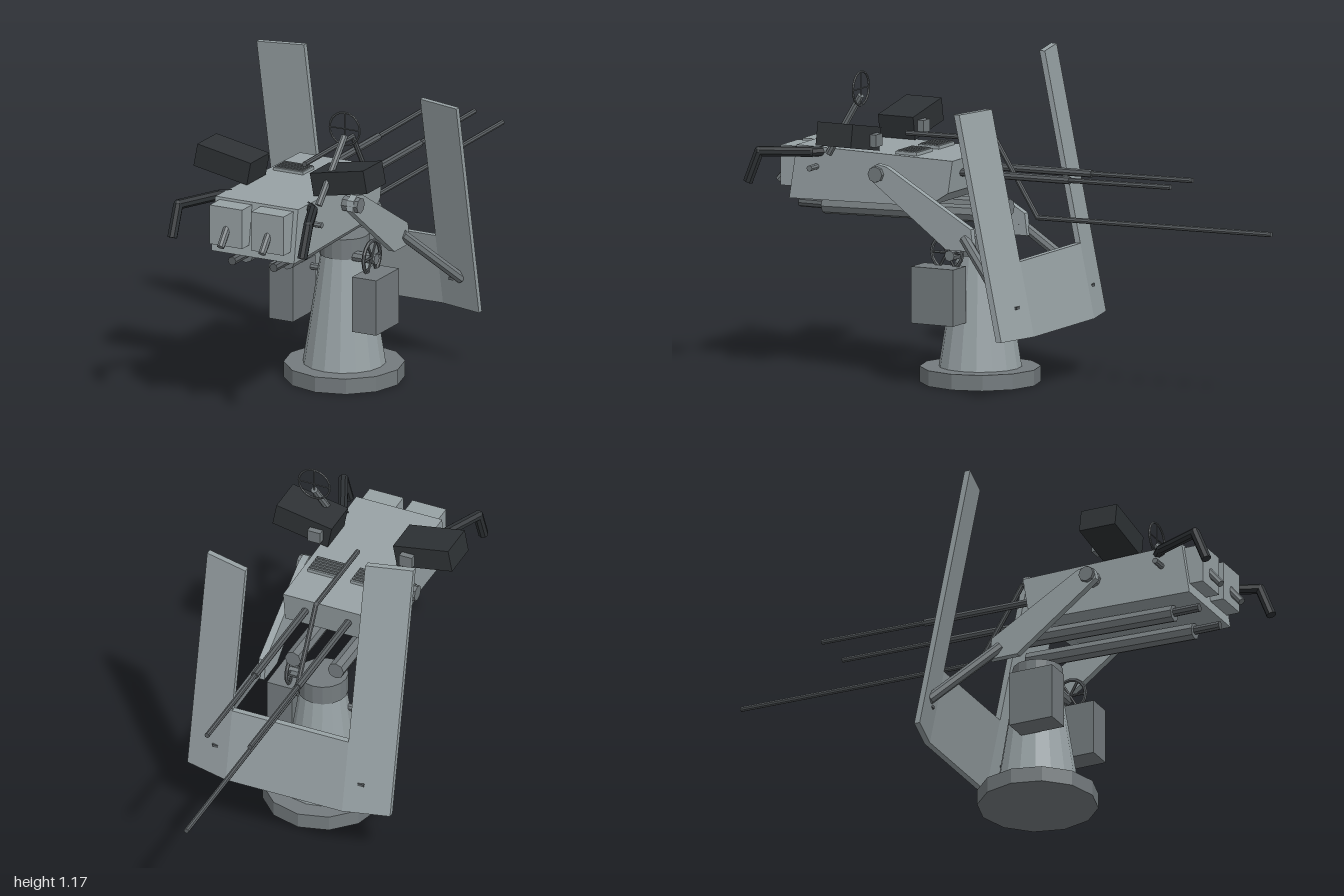
import * as THREE from 'three';

const paint = (color) => new THREE.MeshStandardMaterial({ color, flatShading: true });
const V = (x, y, z) => new THREE.Vector3(x, y, z);

export function createModel() {
  const root = new THREE.Group();
  const grey = paint(0x98a2a5), mid = paint(0x747b7e), steel = paint(0x5a5f62), black = paint(0x2e3235);

  const add = (name, geo, mat, parent = root) => {
    const m = new THREE.Mesh(geo, mat);
    m.name = name;
    parent.add(m);
    return m;
  };
  const box = (name, w, h, d, x, y, z, mat, parent) => {
    const m = add(name, new THREE.BoxGeometry(w, h, d), mat, parent);
    m.position.set(x, y, z);
    return m;
  };
  // Straight round bar between two points
  const rod = (name, a, b, r, mat, sides = 8, parent = root) => {
    const m = add(name, new THREE.CylinderGeometry(r, r, a.distanceTo(b), sides), mat, parent);
    m.position.copy(a).lerp(b, 0.5);
    m.quaternion.setFromUnitVectors(V(0, 1, 0), b.clone().sub(a).normalize());
    return m;
  };
  // Bar bent through several points, with rounded elbows
  const bentRod = (name, pts, r, mat) => {
    const g = new THREE.Group();
    g.name = name;
    root.add(g);
    pts.forEach((p, i) => {
      if (i === 0) return;
      rod(name + 'Segment', pts[i - 1], p, r, mat, 8, g);
      if (i < pts.length - 1) add(name + 'Elbow', new THREE.SphereGeometry(r, 8, 6), mat, g).position.copy(p);
    });
  };
  // Side outline given as [z, y], spanning x0 to x1
  const sidePlate = (name, pts, x0, x1, mat) => {
    const shape = new THREE.Shape(pts.map(([z, y]) => new THREE.Vector2(z, y)));
    const geo = new THREE.ExtrudeGeometry(shape, { depth: x1 - x0, bevelEnabled: false });
    geo.rotateY(-Math.PI / 2).translate(x1, 0, 0);
    return add(name, geo, mat);
  };

  // Pedestal
  const Z = 0.177;
  const turned = (name, r0, r1, y0, y1, sides, mat) => {
    add(name, new THREE.CylinderGeometry(r1, r0, y1 - y0, sides), mat).position.set(0, (y0 + y1) / 2, Z);
  };
  turned('baseDisc', 0.217, 0.217, 0, 0.057, 12, mid);
  turned('pedestalCone', 0.149, 0.085, 0.057, 0.465, 16, grey);
  turned('pedestalCollar', 0.09, 0.09, 0.463, 0.538, 16, mid);

  // Traversing handwheel on the left of the collar
  rod('wheelAxle', V(0.06, 0.472, 0.22), V(0.155, 0.472, 0.22), 0.02, mid);
  const wheel = new THREE.Group();
  wheel.name = 'handwheel';
  wheel.position.set(0.143, 0.482, 0.235);
  wheel.rotation.y = Math.PI / 2;
  root.add(wheel);
  add('wheelRim', new THREE.TorusGeometry(0.062, 0.007, 6, 16), steel, wheel);
  for (let i = 0; i < 3; i++) {
    const a = (i * Math.PI) / 3, c = 0.062 * Math.cos(a), s = 0.062 * Math.sin(a);
    rod('wheelSpoke', V(-c, -s, 0), V(c, s, 0), 0.005, steel, 6, wheel);
  }

  // Receiver body
  sidePlate('receiver', [[0.86, 0.635], [0.83, 0.83], [0.2, 0.818], [0.218, 0.7], [0.3, 0.647]], -0.168, 0.168, grey);
  rod('rearCrossPin', V(-0.222, 0.757, 0.75), V(0.222, 0.757, 0.75), 0.011, mid);
  rod('trunnion', V(-0.232, 0.757, 0.48), V(0.232, 0.757, 0.48), 0.029, mid);

  // Shield panels: sloped back with height, wings swept back past the crossbar
  const panel = (name, x0, x1, y0, y1) => {
    const geo = new THREE.BoxGeometry(x1 - x0, y1 - y0, 0.022).translate((x0 + x1) / 2, (y0 + y1) / 2, 0);
    const p = geo.attributes.position;
    for (let i = 0; i < p.count; i++) {
      const sweep = 0.25 * Math.max(0, Math.abs(p.getX(i)) - 0.228);
      p.setZ(i, p.getZ(i) - 0.151 + 0.21 * (p.getY(i) - 0.22) + sweep);
    }
    geo.computeVertexNormals();
    add(name, geo, grey);
  };
  panel('shieldCrossPanel', -0.228, 0.228, 0.22, 0.488);
  panel('shieldRightWing', -0.397, -0.228, 0.22, 1.172);
  panel('shieldLeftWing', 0.228, 0.397, 0.22, 1.03);

  for (const s of [-1, 1]) {
    // Cradle arms and shield struts
    sidePlate('cradleArm',
      [[0.512, 0.74], [0.505, 0.777], [0.48, 0.793], [0.44, 0.785], [0.1, 0.585], [0.09, 0.505], [0.2, 0.505], [0.49, 0.722]],
      s * 0.204 - 0.013, s * 0.204 + 0.013, grey);
    rod('shieldStrut', V(s * 0.208, 0.55, 0.13), V(s * 0.325, 0.34, -0.095), 0.02, mid);
    box('shieldBolt', 0.024, 0.01, 0.03, s * 0.285, 0.33, -0.114, steel);

    // Boxes hung beside the pedestal
    box('sideBox', 0.098, 0.205, 0.17, s * 0.169, 0.332, 0.255, mid);
    rod('sideBoxBracket', V(s * 0.07, 0.4, 0.2), V(s * 0.14, 0.4, 0.2), 0.013, mid);

    // Twin guns
    const x = s * 0.084;
    rod('barrelSleeve', V(x, 0.765, 0.24), V(x, 0.77, -0.23), 0.014, steel);
    rod('barrel', V(x, 0.77, -0.22), V(x, 0.777, -0.638), 0.0095, steel);
    rod('recoilTube', V(x, 0.605, 0.76), V(x, 0.622, 0.1), 0.031, mid);
    rod('recoilRod', V(x, 0.608, 0.86), V(x, 0.608, 0.72), 0.016, steel);
    box('rearBlock', 0.132, 0.145, 0.08, x, 0.748, 0.865, grey);
    rod('rearGrip', V(x, 0.742, 0.895), V(x, 0.683, 0.945), 0.014, mid);
    box('topCover', 0.12, 0.012, 0.085, x, 0.827, 0.4, grey);
    for (let i = 0; i < 5; i++) box('coolingSlat', 0.112, 0.006, 0.008, x, 0.834, 0.368 + i * 0.016, mid);

    // Tilted magazine with feed block
    box('magazine', 0.22, 0.085, 0.142, s * 0.236, 0.889, 0.584, black).rotation.z = s * 0.185;
    box('feedBlock', 0.05, 0.045, 0.03, s * 0.18, 0.873, 0.505, mid);

    // Control handles
    bentRod('controlHandle',
      [V(s * 0.155, 0.812, 0.73), V(s * 0.19, 0.812, 0.76), V(s * 0.264, 0.812, 0.93), V(s * 0.264, 0.7, 0.975)], 0.0185, black);
  }

  // Central cranked bar running out to the tip
  bentRod('crankedBar', [V(0, 0.875, 0.475), V(0, 0.88, 0.115), V(0, 0.61, -0.055), V(0, 0.622, -1)], 0.0095, steel);

  // Ring sight on a slanted post
  rod('sightPost', V(0.178, 0.81, 0.695), V(0.205, 1.035, 0.55), 0.013, mid);
  const sight = new THREE.Group();
  sight.name = 'ringSight';
  sight.position.set(0.205, 1.06, 0.55);
  root.add(sight);
  add('sightRing', new THREE.TorusGeometry(0.061, 0.004, 6, 20), steel, sight);
  rod('sightHairHorizontal', V(-0.061, 0, 0), V(0.061, 0, 0), 0.0025, steel, 6, sight);
  rod('sightHairVertical', V(0, -0.061, 0), V(0, 0.061, 0), 0.0025, steel, 6, sight);

  return root;
}
